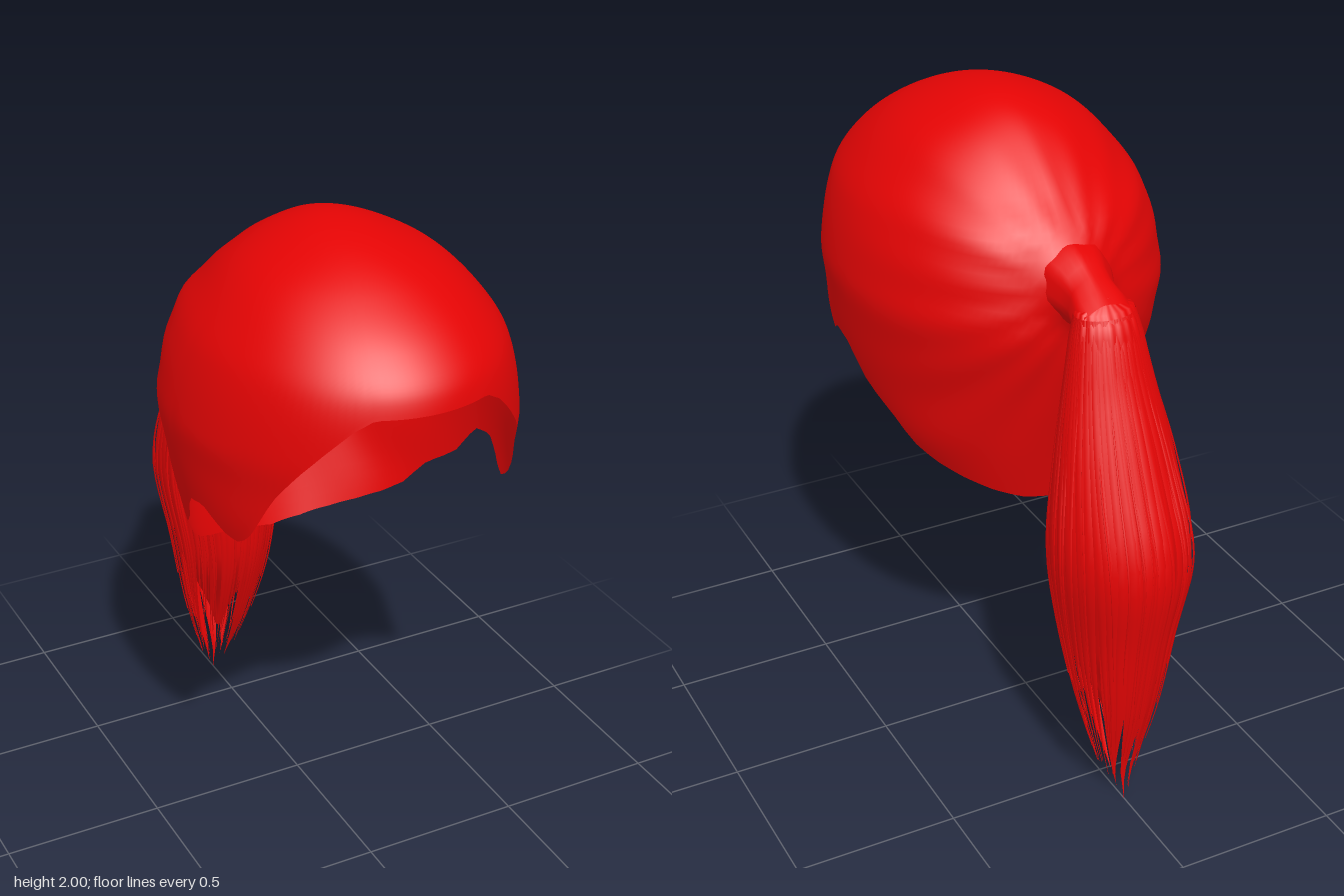
import * as THREE from 'three';

// Small seeded random generator
let seed = 7;
const rnd = () => {
  seed = (seed * 16807) % 2147483647;
  return seed / 2147483647;
};

// Smooth interpolation of rows [key, a, b, c...] with ascending keys
function sample(rows, k) {
  const n = rows.length;
  k = Math.min(Math.max(k, rows[0][0]), rows[n - 1][0]);
  let i = 0;
  while (i < n - 2 && k > rows[i + 1][0]) i++;
  const h = rows[i + 1][0] - rows[i][0];
  const t = (k - rows[i][0]) / h;
  const slope = (j, c) => {
    const p = rows[Math.max(j - 1, 0)], q = rows[Math.min(j + 1, n - 1)];
    return (q[c] - p[c]) / (q[0] - p[0]);
  };
  return rows[0].slice(1).map((_, m) => {
    const c = m + 1, a = rows[i][c], b = rows[i + 1][c];
    return a * (1 + 2 * t) * (1 - t) ** 2 + b * t * t * (3 - 2 * t)
      + h * (slope(i, c) * t * (1 - t) ** 2 - slope(i + 1, c) * t * t * (1 - t));
  });
}

function linear(points, k) {
  let i = 0;
  while (i < points.length - 2 && k > points[i + 1][0]) i++;
  const [a, b] = [points[i], points[i + 1]];
  return a[1] + (b[1] - a[1]) * Math.min(Math.max((k - a[0]) / (b[0] - a[0]), 0), 1);
}

// Grid surface; f(i, j) gives [x, y, z], columns may wrap around
function grid(rows, cols, wrap, f) {
  const pos = [], idx = [], w = wrap ? cols : cols + 1;
  for (let i = 0; i <= rows; i++) for (let j = 0; j < w; j++) pos.push(...f(i, j));
  for (let i = 0; i < rows; i++) for (let j = 0; j < cols; j++) {
    const k = (j + 1) % w;
    const a = i * w + j, b = (i + 1) * w + j, c = i * w + k, d = (i + 1) * w + k;
    idx.push(a, b, c, c, b, d);
  }
  const g = new THREE.BufferGeometry();
  g.setAttribute('position', new THREE.Float32BufferAttribute(pos, 3));
  g.setIndex(idx);
  g.computeVertexNormals();
  return g;
}

// Head levels: y, front z, back z, half width (keyed by square root of depth below the crown)
const headLevels = [
  [2.0, 0.2, 0.2, 0], [1.97, 0.41, 0.05, 0.14], [1.9, 0.58, -0.07, 0.275], [1.8, 0.725, -0.19, 0.375],
  [1.7, 0.8, -0.285, 0.44], [1.5, 0.82, -0.335, 0.49], [1.4, 0.81, -0.335, 0.485], [1.2, 0.8, -0.285, 0.455],
  [1.05, 0.6, -0.243, 0.405], [0.95, 0.5, -0.215, 0.355], [0.82, 0.36, -0.18, 0.27],
].map(([y, ...r]) => [Math.sqrt(2 - y), ...r]);

// Hairline: angle from the front, height of the lower edge
const hairline = [
  [0, 1.66], [0.38, 1.66], [0.5, 1.625], [0.62, 1.565], [0.75, 1.49], [0.88, 1.4], [1.1, 1.24],
  [1.17, 1.21], [1.26, 1.215], [1.44, 1.27], [1.6, 1.25], [1.68, 1.14], [1.83, 1.06], [1.9, 0.99],
  [2.05, 0.94], [2.25, 0.9], [2.5, 0.865], [2.8, 0.835], [Math.PI, 0.82],
];

// Tail levels: -y, front z, back z, half width
const tailLevels = [
  [-1.61, -0.46, -0.48, 0.015], [-1.595, -0.42, -0.51, 0.075], [-1.55, -0.4, -0.55, 0.1],
  [-1.4, -0.395, -0.6, 0.13], [-1.15, -0.385, -0.7, 0.175], [-0.88, -0.365, -0.79, 0.195],
  [-0.6, -0.375, -0.75, 0.155], [-0.35, -0.46, -0.71, 0.115], [-0.1, -0.58, -0.65, 0.055],
  [0, -0.63, -0.655, 0.02],
];

function tailPoint(y, angle, scale) {
  const [zf, zb, w] = sample(tailLevels, -y);
  return [w * scale * Math.sin(angle), y, (zf + zb) / 2 + (zf - zb) / 2 * scale * Math.cos(angle)];
}

function capGeometry() {
  const R = 56, C = 128;
  return grid(R, C, true, (i, j) => {
    const a = (j / C) * Math.PI * 2;
    const edge = linear(hairline, Math.min(a, Math.PI * 2 - a));
    const q = Math.sqrt(2 - edge) * i / R;
    const y = 2 - q * q;
    const [zf, zb, w] = sample(headLevels, q);
    // faint combed ridges that run into the knot
    const fan = Math.atan2(y - 1.57, w * Math.abs(Math.sin(a)) + 0.01);
    const back = THREE.MathUtils.smoothstep(-Math.cos(a), -0.1, 0.7);
    const s = 1 + 0.004 * back * Math.sin(fan * 17);
    const x = w * s * Math.sin(a);
    let z = (zf + zb) / 2 + (zf - zb) / 2 * s * Math.cos(a);
    // hair drawn back into the knot
    if (z < 0) z -= 0.12 * Math.exp(-(x * x + (y - 1.575) ** 2) / 0.0055);
    return [x, y, z];
  });
}

function neckGeometry() {
  // z, centre y, half width, half height
  const rings = [
    [-0.295, 1.585, 0.115, 0.112], [-0.335, 1.582, 0.1, 0.104], [-0.37, 1.572, 0.086, 0.093],
    [-0.41, 1.563, 0.08, 0.082], [-0.46, 1.55, 0.092, 0.07], [-0.5, 1.54, 0.09, 0.06],
  ];
  return grid(rings.length - 1, 32, true, (i, j) => {
    const a = -(j / 32) * Math.PI * 2;
    const [z, y, w, h] = rings[i];
    const s = 1 + 0.025 * Math.sin(a * 8);
    return [w * s * Math.sin(a), y + h * s * Math.cos(a), z];
  });
}

// Solid heart of the tail, shrinking away before the ragged tips
function tailGeometry() {
  return grid(48, 120, true, (i, j) => {
    const a = (j / 120) * Math.PI * 2;
    const y = 1.61 - 1.4 * i / 48;
    const ridge = 0.015 * Math.sin(a * 20) + 0.01 * Math.sin(a * 13 + 1);
    const shrink = THREE.MathUtils.smoothstep(y, 0.1, 0.6);
    return tailPoint(y, a, (0.95 + ridge) * shrink);
  });
}

// Tapered lock with a raised middle, following the tail
function lockGeometry(angle, top, end, lift, half) {
  const twist = (rnd() - 0.5) * 0.25, n = 18;
  return grid(n, 2, false, (i, j) => {
    const t = i / n;
    const width = half * (1 - t ** 4) + 0.003;
    const out = 0.95 + lift * Math.sin(Math.PI * Math.min(t * 1.4, 1) / 2) + (j === 1 ? 0.025 : 0);
    return tailPoint(top + (end - top) * t, angle + twist * t + (j - 1) * width, out);
  });
}

export function createModel() {
  const red = new THREE.MeshStandardMaterial({ color: 0xe40404, side: THREE.DoubleSide });
  red.name = 'red hair';
  const model = new THREE.Group();
  model.name = 'ponytailHair';
  const add = (parent, name, geometry) => {
    const mesh = new THREE.Mesh(geometry, red);
    mesh.name = name;
    parent.add(mesh);
  };

  add(model, 'hairCap', capGeometry());
  add(model, 'ponytailKnot', neckGeometry());

  const tail = new THREE.Group();
  tail.name = 'ponytail';
  model.add(tail);
  add(tail, 'tailBody', tailGeometry());

  // Broad locks with uneven tips, longest at the back
  seed = 7;
  for (let k = 0; k < 64; k++) {
    const a = (k + rnd() * 0.6) / 64 * Math.PI * 2;
    const end = 0.1 + 0.06 * Math.cos(a) + 0.3 * rnd() ** 1.5;
    add(tail, 'lock', lockGeometry(a, 1.57, end, 0.02 + rnd() * 0.04, 0.075));
  }
  // Fine stray wisps
  for (let k = 0; k < 50; k++) {
    const a = rnd() * Math.PI * 2;
    add(tail, 'wisp', lockGeometry(a, 1.5 - rnd() * 0.3, 0.12 + rnd() * 0.4, 0.06 + rnd() * 0.09, 0.014));
  }
  // Long tips that end the tail in a point
  for (const [a, end] of [[Math.PI, 0], [2.6, 0.06], [3.7, 0.03], [0.3, 0.08]]) {
    add(tail, 'tipLock', lockGeometry(a, 0.7, end, 0, 0.3));
  }
  return model;
}
